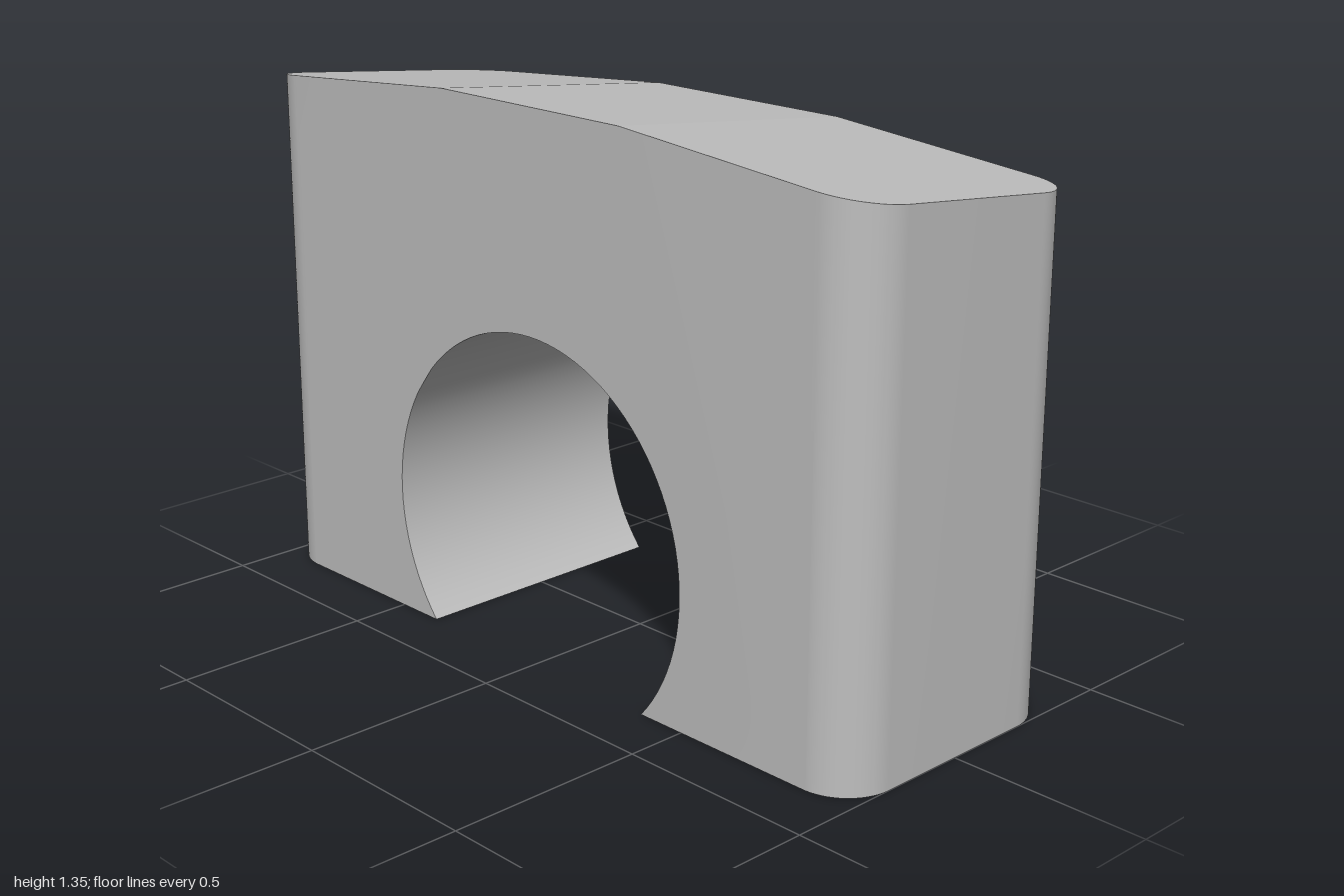
import * as THREE from 'three';
import { toCreasedNormals } from 'three/addons/utils/BufferGeometryUtils.js';

const HALF_W = 0.35;      // half thickness in x
const R = 0.13;           // vertical corner radius
const ARC = 24;           // steps per rounded corner
const HOLE_R = 0.493, HOLE_Y = 0.325;

// Top surface: tilted across x, level in the middle, falling to both ends
const topY = (x, z) => 1.314 - 0.109 * x - 0.081 * Math.max(0, Math.abs(z) - 0.3);

export function createModel() {
  const group = new THREE.Group();
  const grey = new THREE.MeshStandardMaterial({ color: 0xbfbfbf });
  grey.name = 'grey';

  // Side outline with the round opening cut through the base
  const a = Math.asin(HOLE_Y / HOLE_R);
  const foot = HOLE_R * Math.cos(a);
  const outline = new THREE.Shape();
  outline.moveTo(-1, 0);
  outline.lineTo(-foot, 0);
  outline.absarc(0, HOLE_Y, HOLE_R, Math.PI + a, -a, true);
  outline.lineTo(1, 0);
  outline.lineTo(1, 1.3);
  outline.lineTo(0.3, 1.3);
  outline.lineTo(-0.3, 1.3);
  outline.lineTo(-1, 1.3);
  outline.closePath();

  // Extrude across x; the first and last steps become the rounded corners
  const steps = 2 * ARC + 1;
  const geo = new THREE.ExtrudeGeometry(outline, {
    depth: steps, steps, curveSegments: 36, bevelEnabled: false,
  });
  geo.rotateY(Math.PI / 2);
  const p = geo.attributes.position;
  for (let i = 0; i < p.count; i++) {
    const step = Math.round(p.getX(i));
    const fromEdge = Math.min(step, steps - step);
    const t = (fromEdge / ARC) * Math.PI / 2;
    const x = (step <= ARC ? -1 : 1) * (HALF_W - R * (1 - Math.cos(t)));
    let z = p.getZ(i), y = p.getY(i);
    if (Math.abs(z) > 0.95) z = Math.sign(z) * (1 - R + R * Math.sin(t));
    if (y > 1.2) y = topY(x, z);
    p.setXYZ(i, x, y, z);
  }

  const block = new THREE.Mesh(toCreasedNormals(geo, 0.075), grey);
  block.name = 'archedBlock';
  group.add(block);
  return group;
}
